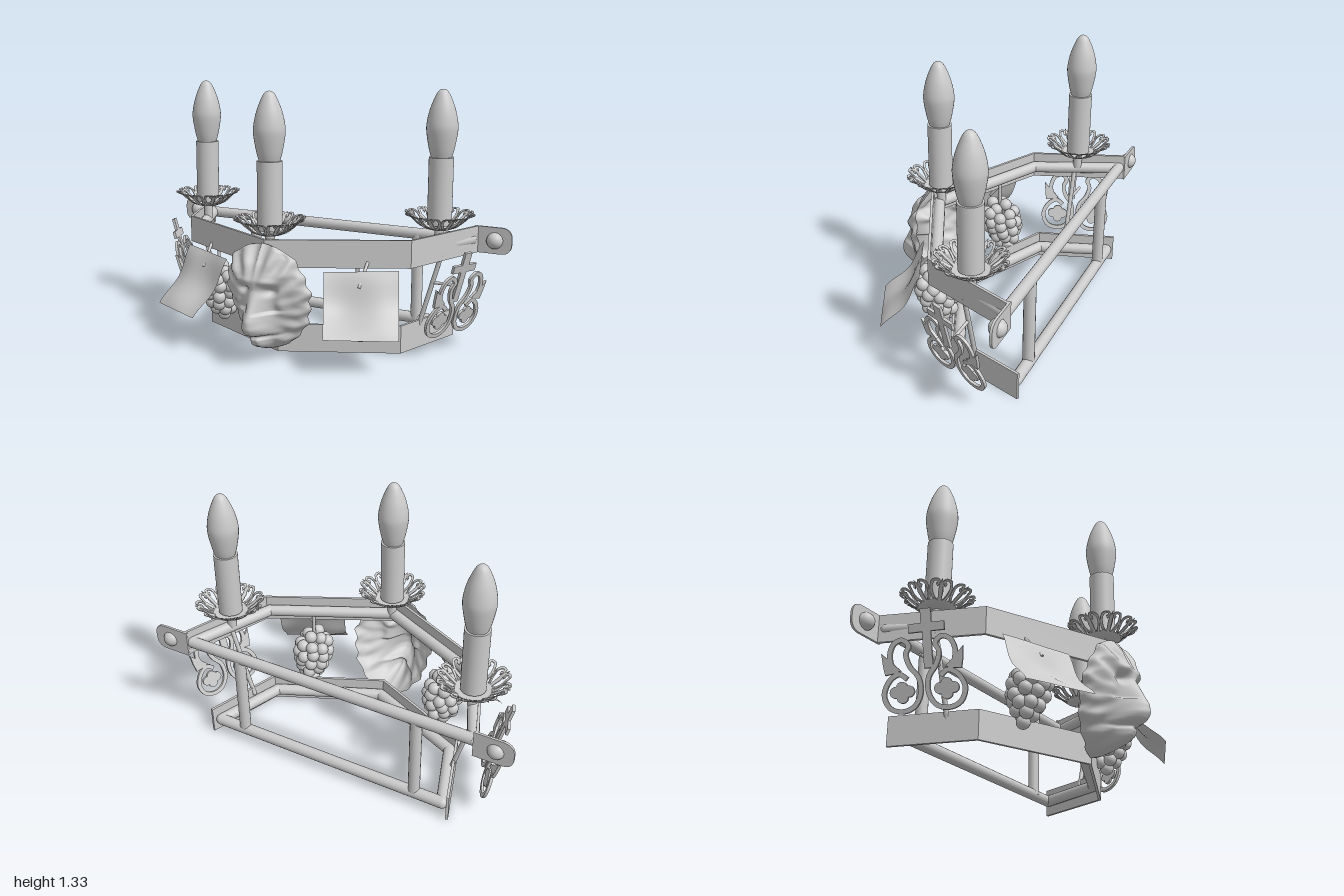
import * as THREE from 'three';

const mat = new THREE.MeshStandardMaterial({ color: 0xcccccc, side: THREE.DoubleSide });
const V2 = (x, y) => new THREE.Vector2(x, y);
const V3 = (x, y, z) => new THREE.Vector3(x, y, z);

function add(parent, name, geo, x = 0, y = 0, z = 0) {
  const m = new THREE.Mesh(geo, mat);
  m.name = name;
  m.position.set(x, y, z);
  parent.add(m);
  return m;
}

// Round bar between two points
function rod(parent, name, a, b, r) {
  const d = b.clone().sub(a);
  const m = add(parent, name, new THREE.CylinderGeometry(r, r, d.length(), 16));
  m.position.copy(a).add(b).multiplyScalar(0.5);
  m.quaternion.setFromUnitVectors(V3(0, 1, 0), d.normalize());
}

// Flat outline of constant width along a 2D path, with mitred corners
function ribbon(pts, w) {
  const left = [], right = [];
  pts.forEach((p, i) => {
    const a = pts[Math.max(i - 1, 0)], b = pts[Math.min(i + 1, pts.length - 1)];
    const d1 = (i ? p.clone().sub(a) : b.clone().sub(p)).normalize();
    const d2 = (i < pts.length - 1 ? b.clone().sub(p) : d1.clone()).normalize();
    const n = V2(-d1.y, d1.x), m = n.clone().add(V2(-d2.y, d2.x)).normalize();
    m.multiplyScalar(w / 2 / Math.max(0.4, m.dot(n)));
    left.push(p.clone().add(m));
    right.unshift(p.clone().sub(m));
  });
  return new THREE.Shape([...left, ...right]);
}
const curl = (list, n) => new THREE.SplineCurve(list.map(p => V2(...p))).getPoints(n);
const extrude = (shape, depth) =>
  new THREE.ExtrudeGeometry(shape, { depth, bevelEnabled: false, curveSegments: 10 });

// Piecewise linear lookup in a table of [key, value]
function lookup(table, k) {
  for (let i = 1; i < table.length; i++) {
    const [k0, v0] = table[i - 1], [k1, v1] = table[i];
    if (k <= k1) return v0 + (v1 - v0) * Math.max(0, (k - k0) / (k1 - k0));
  }
  return table[table.length - 1][1];
}

// Rewrite every vertex by a rule
function reshape(geo, rule) {
  const p = geo.attributes.position;
  for (let i = 0; i < p.count; i++) p.setXYZ(i, ...rule(p.getX(i), p.getY(i), p.getZ(i)));
  geo.computeVertexNormals();
  return geo;
}

// Plan half path -> full mirrored path of [x, z]
const mirrorPath = half => [...half.map(([x, z]) => [-x, z]), [0, half.apex], ...half.slice().reverse()];

// Flat outer band with a round rail running inside it
function frameTier(g, name, y0, y1, outer, apex, inner, innerApex) {
  outer.apex = apex;
  inner.apex = innerApex;
  const band = extrude(ribbon(mirrorPath(outer).map(([x, z]) => V2(x, -z)), 0.014), y1 - y0);
  add(g, name + 'Band', band.rotateX(-Math.PI / 2), 0, y0, 0);
  const pts = mirrorPath(inner).map(([x, z]) => V3(x, (y0 + y1) / 2, z));
  pts.forEach((p, i) => {
    rod(g, name + 'Rail', p, pts[(i + 1) % pts.length], 0.03);
    add(g, name + 'RailJoint', new THREE.SphereGeometry(0.03, 16, 10), p.x, p.y, p.z);
  });
}

// Candle with bulb and openwork drip pan
function candle(parent, x, z) {
  const g = new THREE.Group();
  g.name = 'candle';
  g.position.set(x, 0, z);
  parent.add(g);
  rod(g, 'candleStem', V3(0, 0.55, 0), V3(0, 0.66, 0), 0.024);
  add(g, 'candleSleeve', new THREE.CylinderGeometry(0.062, 0.062, 0.34, 32), 0, 0.82, 0);
  const bulb = curl([[0.05, 0.985], [0.063, 1.03], [0.077, 1.11], [0.077, 1.16], [0.062, 1.23],
    [0.036, 1.295], [0.018, 1.32], [0, 1.326]], 30);
  add(g, 'bulb', new THREE.LatheGeometry(bulb, 32));
  add(g, 'panBowl', new THREE.LatheGeometry([V2(0, 0.63), V2(0.06, 0.628), V2(0.09, 0.64),
    V2(0.088, 0.648), V2(0.06, 0.637), V2(0, 0.638)], 32));
  const rise = [[0.07, 0.632], [0.1, 0.645], [0.125, 0.665], [0.145, 0.69], [0.165, 0.702], [0.185, 0.706]];
  const bend = (u, v, w) => [u, lookup(rise, Math.hypot(u, v)) + w, v];
  const scroll = [[0.078, 0.004], [0.1, 0.03], [0.13, 0.046], [0.16, 0.042], [0.17, 0.022], [0.155, 0.012], [0.143, 0.022]];
  const shapes = [1, -1].map(s => ribbon(curl(scroll.map(([u, v]) => [u, s * v]), 20), 0.013));
  shapes.push(new THREE.Shape([V2(0.08, -0.008), V2(0.13, -0.012), V2(0.15, -0.008), V2(0.182, 0),
    V2(0.15, 0.008), V2(0.13, 0.012), V2(0.08, 0.008)]));
  const geo = reshape(extrude(shapes, 0.005), bend);
  for (let i = 0; i < 8; i++) add(g, 'panPetal', geo).rotation.y = i * Math.PI / 4;
}

// Lion mask: rows run up the face, columns across it
function lionMask() {
  const halfWidth = [[0.03, 0], [0.05, 0.065], [0.11, 0.135], [0.19, 0.195], [0.25, 0.212], [0.36, 0.232],
    [0.45, 0.205], [0.53, 0.168], [0.57, 0.11], [0.59, 0.06], [0.6, 0]];
  const profile = [[0.03, 0.18], [0.06, 0.30], [0.08, 0.365], [0.1, 0.405], [0.13, 0.425], [0.15, 0.44], [0.17, 0.48],
    [0.2, 0.5], [0.24, 0.5], [0.27, 0.485], [0.33, 0.455], [0.38, 0.43], [0.43, 0.43], [0.5, 0.4], [0.6, 0.34]];
  const bump = (x, y, cx, cy, rx, ry) => Math.exp(-(((x - cx) / rx) ** 2) - ((y - cy) / ry) ** 2);
  return reshape(new THREE.PlaneGeometry(2, 1, 64, 72), (q, t) => {
    const y = 0.03 + 0.57 * (t + 0.5);
    const x = q * lookup(halfWidth, y) * (1 + 0.035 * q * q * Math.sin(y * 75)), ax = Math.abs(x);
    const back = 0.18 + 0.28 * (y - 0.03), mid = lookup(profile, y);
    const dome = Math.min(0.12, mid - back), edge = 1 - q * q;
    let z = back + dome * Math.pow(Math.max(edge, 0), 0.6);
    z += Math.max(0, mid - back - dome) * Math.exp(-((x / (y < 0.27 ? 0.075 : 0.055)) ** 2));
    const detail = 0.02 * bump(ax, y, 0.07, 0.425, 0.045, 0.02) - 0.03 * bump(ax, y, 0.07, 0.375, 0.03, 0.02)
      + 0.018 * bump(ax, y, 0.05, 0.19, 0.03, 0.035) - 0.03 * bump(ax, y, 0.03, 0.145, 0.06, 0.01)
      + 0.02 * bump(ax, y, 0.12, 0.3, 0.03, 0.05);
    const mane = 0.014 * Math.sin(16 * Math.atan2(y - 0.3, ax)) * Math.min(1, (Math.hypot(x, y - 0.3) / 0.22) ** 4);
    return [x, y, z + (detail + mane) * Math.min(1, edge * 3)];
  });
}

// Parts of the model's left side, mirrored for the right
function sideParts() {
  const g = new THREE.Group();
  g.name = 'side';

  // Rounded wall tab with its round-headed fixing
  const tab = new THREE.Shape();
  tab.moveTo(0.8, 0.47).lineTo(0.94, 0.47).quadraticCurveTo(1, 0.47, 1, 0.53)
    .lineTo(1, 0.55).quadraticCurveTo(1, 0.61, 0.94, 0.61).lineTo(0.8, 0.61);
  add(g, 'wallTab', extrude(tab, 0.012), 0, 0, -0.495);
  add(g, 'tabStud', new THREE.SphereGeometry(0.043, 20, 14), 0.91, 0.54, -0.482);

  rod(g, 'backPost', V3(0.5, 0.07, -0.46), V3(0.5, 0.54, -0.46), 0.03);
  rod(g, 'sideStrut', V3(0.715, 0.5, -0.225), V3(0.6, 0.1, -0.225), 0.012);
  rod(g, 'ornamentPin', V3(0.67, 0.35, -0.225), V3(0.82, 0.35, -0.225), 0.008);

  // Side ornament: cross between two scrolls
  const ornament = new THREE.Group();
  ornament.name = 'sideOrnament';
  const ux = V3(-0.36, 0, 0.93).normalize(), uy = V3(0.22, 0.975, 0).normalize();
  ornament.applyMatrix4(new THREE.Matrix4().makeBasis(ux, uy, ux.clone().cross(uy).normalize())
    .setPosition(0.735, 0, -0.225));
  g.add(ornament);
  const c = 0.025, cross = [[-0.02, 0.29], [0.02, 0.29], [0.02, 0.455], [0.082, 0.455], [0.082, 0.495], [0.024, 0.495],
    [0.024, 0.56], [-0.024, 0.56], [-0.024, 0.495], [-0.082, 0.495], [-0.082, 0.455], [-0.02, 0.455]];
  const shapes = [new THREE.Shape(cross.map(([u, v]) => V2(u + c, v)))];
  const path = [[0.075, 0.25], [0.11, 0.275], [0.155, 0.25], [0.182, 0.19], [0.16, 0.13], [0.105, 0.108],
    [0.05, 0.125], [0.018, 0.18], [0.022, 0.25], [0.06, 0.305], [0.075, 0.36], [0.06, 0.4], [0.09, 0.428],
    [0.13, 0.41], [0.148, 0.36], [0.14, 0.31]];
  for (const s of [1, -1]) {
    shapes.push(ribbon(curl(path.map(([u, v]) => [s * u, v]), 56), 0.022));
    shapes.push(new THREE.Shape([[0.1, 0.29], [0.14, 0.33], [0.185, 0.375], [0.18, 0.32], [0.172, 0.275], [0.135, 0.28]]
      .map(([u, v]) => V2(s * u, v))));
    for (const [u, v] of [[0.07, 0.195], [0.13, 0.195], [0.1, 0.17], [0.1, 0.215]])
      shapes.push(new THREE.Shape().absarc(s * u, v, 0.026, 0, Math.PI * 2));
  }
  add(ornament, 'scrollwork', extrude(shapes, 0.014), 0, 0, -0.007);

  // Leaf panel: a gently waved sheet spanning four corners
  const tl = V3(0.27, 0.45, 0.21), tr = V3(0.6, 0.46, 0.055), bl = V3(0.36, 0.175, 0.4), br = V3(0.68, 0.17, 0.24);
  const n = tr.clone().sub(tl).cross(tl.clone().sub(bl)).normalize();
  add(g, 'leafPanel', reshape(new THREE.PlaneGeometry(1, 1, 16, 16), (x, y) => {
    const p = bl.clone().lerp(br, x + 0.5).lerp(tl.clone().lerp(tr, x + 0.5), y + 0.5);
    return p.addScaledVector(n, 0.014 * Math.sin(x * 6.3) * Math.cos(y * 3) - 0.015 * Math.cos(y * 6.3)).toArray();
  }));
  rod(g, 'leafStem', V3(0.45, 0.5, 0.09), V3(0.445, 0.39, 0.18), 0.008);

  // Grape bunch: rings of berries
  rod(g, 'grapeStem', V3(0.4, 0.52, 0.1), V3(0.4, 0.35, 0.1), 0.009);
  const berry = new THREE.SphereGeometry(0.034, 16, 12);
  [[0.365, 0.04, 4], [0.325, 0.074, 8], [0.28, 0.082, 9], [0.235, 0.076, 8], [0.19, 0.06, 7],
    [0.15, 0.038, 4], [0.112, 0, 1]].forEach(([y, r, count], row) => {
    for (let i = 0; i < count; i++) {
      const a = (i + row * 0.5) / count * Math.PI * 2;
      add(g, 'grape', berry, 0.4 + r * Math.cos(a), y + 0.012 * Math.sin(i * 2.4 + row),
        0.105 - (0.37 - y) * 0.2 + r * Math.sin(a));
    }
  });
  return g;
}

export function createModel() {
  const g = new THREE.Group();
  g.name = 'wallCandelabra';
  frameTier(g, 'upper', 0.47, 0.61, [[0.815, -0.485], [0.635, -0.005]], 0.31, [[0.79, -0.462], [0.602, -0.022]], 0.27);
  frameTier(g, 'lower', 0, 0.145, [[0.695, -0.49], [0.56, -0.08]], 0.175, [[0.655, -0.462], [0.528, -0.098]], 0.135);
  add(g, 'lionMask', lionMask());
  for (const [x, z] of [[-0.69, -0.25], [0, 0.26], [0.69, -0.25]]) candle(g, x, z);
  const left = sideParts(), right = sideParts();
  left.name = 'leftSide';
  right.name = 'rightSide';
  right.scale.x = -1;
  g.add(left, right);
  return g;
}
